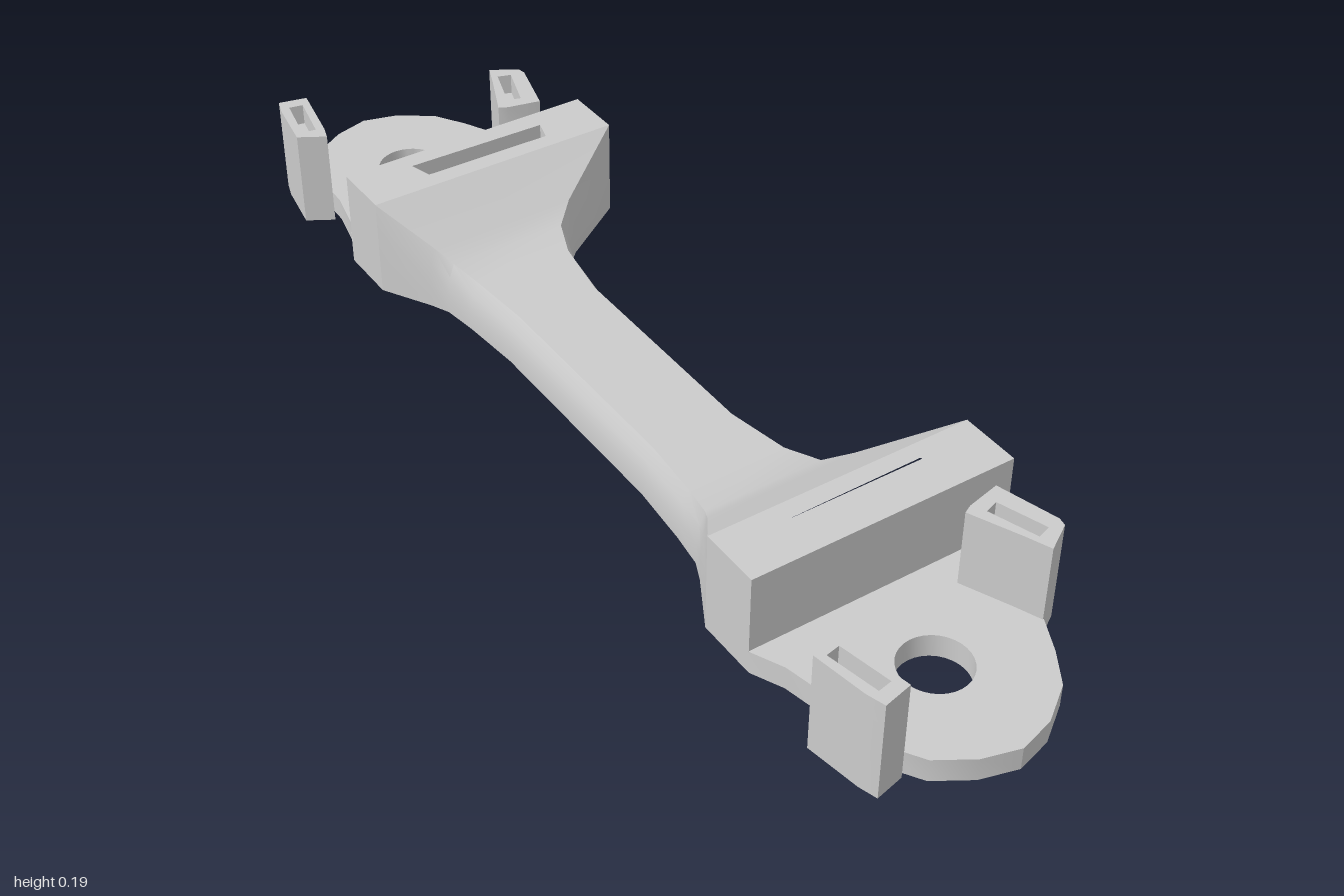
import * as THREE from 'three';
import { toCreasedNormals } from 'three/addons/utils/BufferGeometryUtils.js';

const material = new THREE.MeshStandardMaterial({ color: 0xcccccc });

const TOP = 0.186;
const PLATE = 0.043;

function addMesh(parent, name, geometry) {
  const mesh = new THREE.Mesh(toCreasedNormals(geometry, 0.45), material);
  mesh.name = name;
  parent.add(mesh);
  return mesh;
}

// Upright prism from an [x, z] outline, optionally with holes; s = +1 / -1 chooses the end
function prism(outline, y0, y1, s, holes = []) {
  const toPoints = (pts) => pts.map(([x, z]) => new THREE.Vector2(x, -z * s));
  const shape = new THREE.Shape(toPoints(outline));
  for (const h of holes) shape.holes.push(new THREE.Path(toPoints(h)));
  const g = new THREE.ExtrudeGeometry(shape, { depth: y1 - y0, bevelEnabled: false });
  return g.rotateX(-Math.PI / 2).translate(0, y0, 0);
}

// Prism with a blind slot sunk into its top
function slotted(parent, name, outline, slot, depth, s) {
  const part = new THREE.Group();
  part.name = name;
  addMesh(part, name + 'Body', prism(outline, 0, TOP - depth, s));
  addMesh(part, name + 'Rim', prism(outline, TOP - depth, TOP, s, [slot]));
  parent.add(part);
}

// Slim rectangular slot given by centre, direction and size
function slotRect(cx, cz, dx, dz, length, width) {
  const n = Math.hypot(dx, dz);
  const ux = dx / n, uz = dz / n;
  return [[1, 1], [1, -1], [-1, -1], [-1, 1]].map(([a, b]) => [
    cx + (a * ux * length - b * uz * width) / 2,
    cz + (a * uz * length + b * ux * width) / 2,
  ]);
}

function createEnd(s) {
  const end = new THREE.Group();
  end.name = s > 0 ? 'frontEnd' : 'backEnd';

  // Rounded base plate with a bolt hole
  const plate = [
    [-0.238, 0.6], [-0.238, 0.635], [-0.212, 0.69], [-0.195, 0.77], [-0.192, 0.88],
    [-0.15, 0.945], [-0.09, 0.982], [-0.025, 1], [0.04, 0.982], [0.103, 0.938],
    [0.14, 0.88], [0.17, 0.82], [0.19, 0.76], [0.198, 0.675], [0.254, 0.625], [0.254, 0.6],
  ];
  const hole = [];
  for (let i = 0; i < 32; i++) {
    const a = (i / 32) * Math.PI * 2;
    hole.push([-0.025 + 0.06 * Math.cos(a), 0.804 + 0.06 * Math.sin(a)]);
  }
  addMesh(end, 'basePlate', prism(plate, 0, PLATE, s, [hole]));

  // Tall cross block with a long slot
  slotted(end, 'crossBlock',
    [[-0.238, 0.521], [0.254, 0.521], [0.254, 0.633], [-0.238, 0.633]],
    [[-0.11, 0.556], [0.135, 0.553], [0.146, 0.592], [-0.122, 0.598]], 0.04, s);

  // Two upright clips beside the plate
  slotted(end, 'rightClip',
    [[-0.254, 0.802], [-0.206, 0.774], [-0.198, 0.8], [-0.176, 0.92], [-0.228, 0.932], [-0.238, 0.9]],
    slotRect(-0.216, 0.856, 0.2, 1, 0.095, 0.026), 0.04, s);
  slotted(end, 'leftClip',
    [[0.112, 0.688], [0.128, 0.68], [0.19, 0.666], [0.22, 0.775], [0.217, 0.79], [0.168, 0.82], [0.15, 0.775]],
    slotRect(0.167, 0.742, 0.33, 1, 0.09, 0.026), 0.04, s);
  return end;
}

// Bar lofted from cross-sections: z, left x, right x, height, edge inset
function createBar() {
  const half = [
    [0.521, -0.238, 0.254, TOP, 0],
    [0.43, -0.186, 0.12, 0.122, 0.012],
    [0.395, -0.17, 0.085, 0.1, 0.016],
    [0.33, -0.161, 0.064, 0.092, 0.02],
    [0.21, -0.151, 0.048, 0.088, 0.022],
  ];
  const stations = [...half, ...half.map(([z, ...r]) => [-z, ...r]).reverse()];
  const rings = stations.map(([z, a, b, h, e]) => [
    [a, 0, z], [a, 0.4 * h, z], [a + e * 0.4, 0.75 * h, z], [a + e, h, z],
    [b - e, h, z], [b - e * 0.4, 0.75 * h, z], [b, 0.4 * h, z], [b, 0, z],
  ]);
  const pos = [];
  for (let i = 0; i < rings.length - 1; i++) {
    const p = rings[i], q = rings[i + 1];
    for (let j = 0; j < p.length; j++) {
      const k = (j + 1) % p.length;
      pos.push(...p[j], ...p[k], ...q[k], ...p[j], ...q[k], ...q[j]);
    }
  }
  const g = new THREE.BufferGeometry();
  g.setAttribute('position', new THREE.Float32BufferAttribute(pos, 3));
  return g;
}

export function createModel() {
  const model = new THREE.Group();
  model.name = 'linkBracket';
  addMesh(model, 'connectingBar', createBar());
  model.add(createEnd(1), createEnd(-1));
  return model;
}
